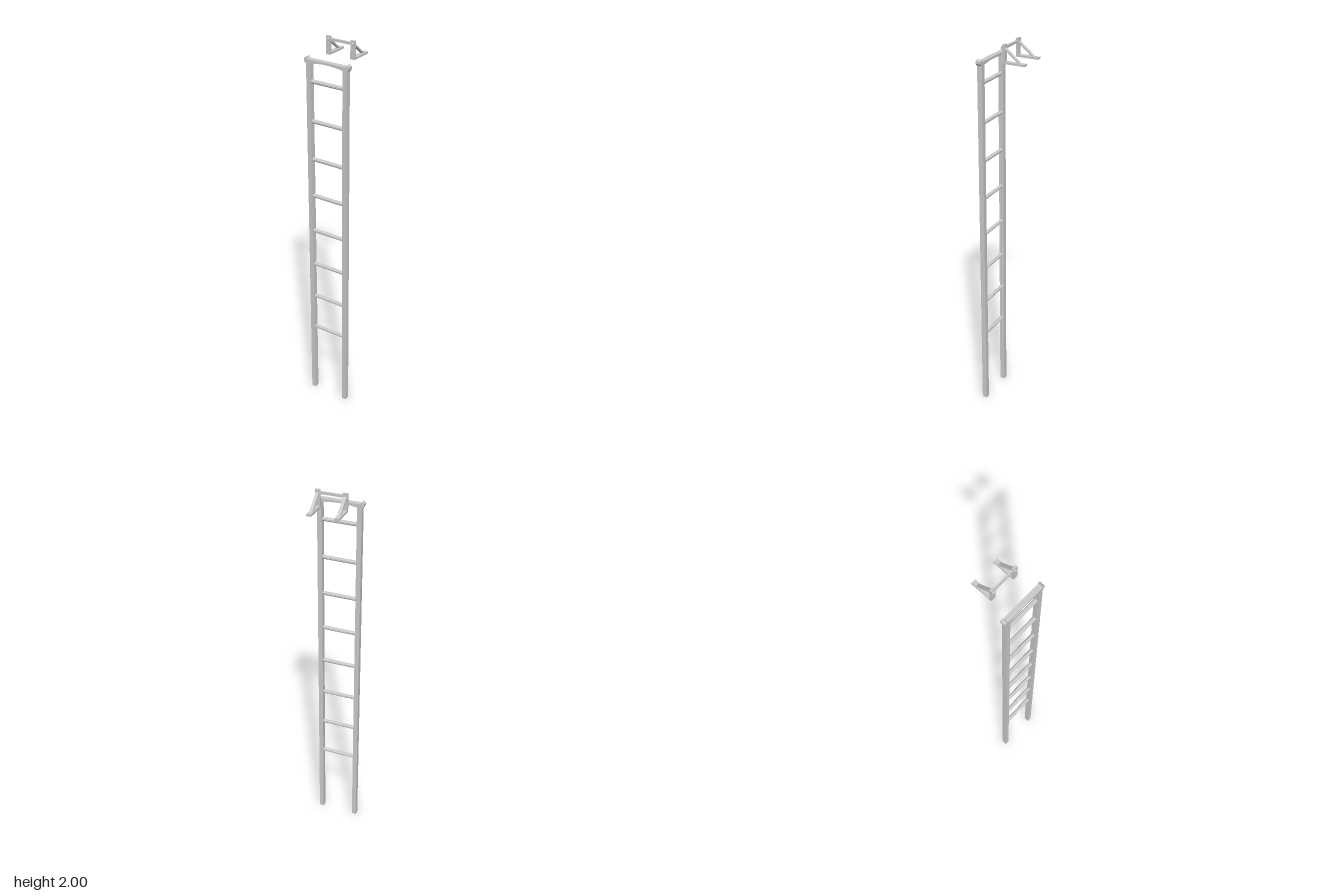
import * as THREE from 'three';

const mat = new THREE.MeshStandardMaterial({ color: 0xcccccc, flatShading: true });

export function createModel() {
  const model = new THREE.Group();
  model.name = 'ladderWithWallBracket';

  const add = (parent, name, geometry, x, y, z) => {
    const mesh = new THREE.Mesh(geometry, mat);
    mesh.name = name;
    mesh.position.set(x, y, z);
    parent.add(mesh);
    return mesh;
  };
  const box = (parent, name, w, h, d, x, y, z) =>
    add(parent, name, new THREE.BoxGeometry(w, h, d), x, y, z);

  // Ladder: two rails, eight rungs and an arched cap
  const ladder = new THREE.Group();
  ladder.name = 'ladder';
  model.add(ladder);
  const ladderZ = 0.1005;
  for (const s of [-1, 1]) {
    box(ladder, s > 0 ? 'leftRail' : 'rightRail', 0.024, 1.9, 0.026, s * 0.1, 0.95, ladderZ);
  }
  const rungGeometry = new THREE.CylinderGeometry(0.01, 0.01, 0.184, 8);
  rungGeometry.rotateY(Math.PI / 8).rotateZ(Math.PI / 2);
  for (let i = 0; i < 8; i++) {
    add(ladder, 'rung' + (i + 1), rungGeometry, 0, 0.414 + i * 0.199, ladderZ);
  }

  // Cap outline: arched underside, flat top and raised ears
  const cap = new THREE.Shape();
  cap.moveTo(-0.116, 1.896);
  cap.lineTo(-0.088, 1.896);
  cap.quadraticCurveTo(0, 1.914, 0.088, 1.896);
  cap.lineTo(0.116, 1.896);
  cap.lineTo(0.122, 1.905);
  cap.lineTo(0.122, 1.918);
  cap.lineTo(0.111, 1.926);
  cap.lineTo(0.109, 1.918);
  cap.lineTo(0.103, 1.915);
  cap.lineTo(-0.103, 1.915);
  cap.lineTo(-0.109, 1.918);
  cap.lineTo(-0.111, 1.926);
  cap.lineTo(-0.122, 1.918);
  cap.lineTo(-0.122, 1.905);
  cap.closePath();
  const capGeometry = new THREE.ExtrudeGeometry(cap, {
    depth: 0.027, bevelEnabled: false, curveSegments: 10,
  });
  add(ladder, 'topCap', capGeometry, 0, 0, ladderZ - 0.0135);

  // Bracket: a pair of braced supports joined by a crossbar
  const bracket = new THREE.Group();
  bracket.name = 'bracket';
  model.add(bracket);

  // Diagonal brace outline drawn in (-z, y), then turned into place
  const brace = new THREE.Shape();
  brace.moveTo(0.01, 1.978);
  brace.lineTo(0.082, 1.92);
  brace.lineTo(0.094, 1.92);
  brace.lineTo(0.01, 1.988);
  brace.closePath();
  const braceGeometry = new THREE.ExtrudeGeometry(brace, { depth: 0.016, bevelEnabled: false });
  braceGeometry.translate(0, 0, -0.008).rotateY(Math.PI / 2);
  const boltGeometry = new THREE.CylinderGeometry(0.006, 0.008, 0.009, 8).rotateX(Math.PI / 2);

  for (const s of [-1, 1]) {
    const side = new THREE.Group();
    side.name = s > 0 ? 'leftSupport' : 'rightSupport';
    side.position.x = s * 0.067;
    bracket.add(side);
    box(side, 'upright', 0.024, 0.089, 0.011, 0, 1.9555, -0.0075);
    box(side, 'foot', 0.024, 0.01, 0.115, 0, 1.916, -0.0595);
    add(side, 'brace', braceGeometry, 0, 0, 0);
    add(side, 'bolt', boltGeometry, 0, 1.985, 0.0025);
  }
  box(bracket, 'crossbar', 0.112, 0.012, 0.01, 0, 1.985, -0.0075);

  return model;
}
